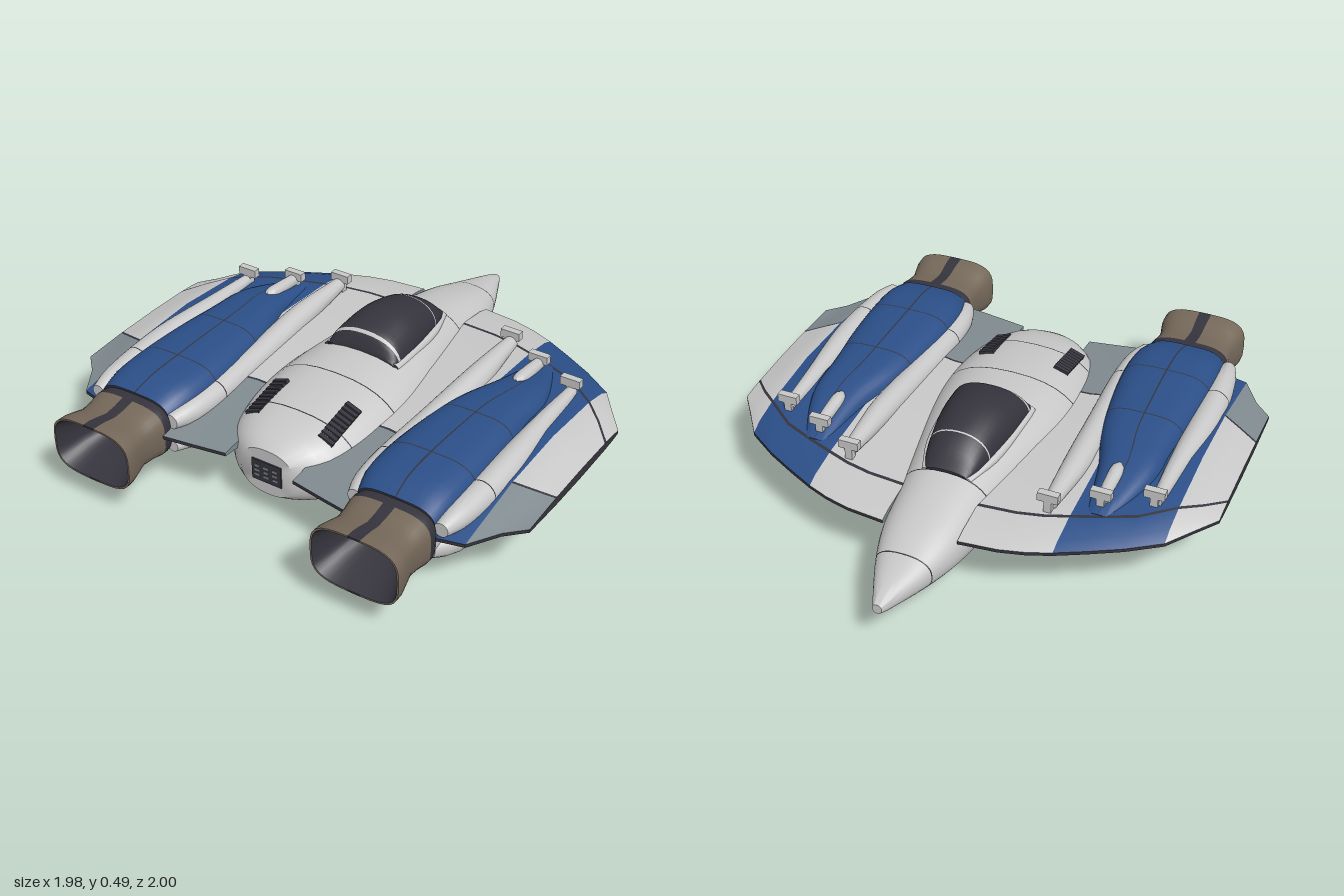
import * as THREE from 'three';
import { toCreasedNormals } from 'three/addons/utils/BufferGeometryUtils.js';

const paint = (name, color) => Object.assign(new THREE.MeshStandardMaterial({ color }), { name });
const WHITE = paint('hullWhite', 0xc8c8c8);
const BLUE = paint('panelBlue', 0x2b4f88);
const DARK = paint('darkTrim', 0x35343d);
const BROWN = paint('nozzleBrown', 0x75685a);
const GREY = paint('flapGrey', 0x808b90);

// Skins closed rings of points; colour(i, j) gives the material of each cell
function skin(name, rings, colour, flip = false, capMats = [WHITE, WHITE]) {
  const n = rings[0].length, pos = rings.flat(2), faces = new Map();
  const add = (mat, a, b, c) => {
    if (!faces.has(mat)) faces.set(mat, []);
    faces.get(mat).push(...(flip ? [a, c, b] : [a, b, c]));
  };
  for (let i = 0; i < rings.length - 1; i++) {
    for (let j = 0; j < n; j++) {
      const a = i * n + j, b = i * n + (j + 1) % n, m = colour(i, j);
      add(m, a, b, a + n);
      add(m, b, b + n, a + n);
    }
  }
  [0, rings.length - 1].forEach((r, end) => {
    const base = pos.length / 3, ring = rings[r];
    pos.push(...ring.flat(), ...[0, 1, 2].map(k => ring.reduce((s, p) => s + p[k], 0) / n));
    for (let j = 0; j < n; j++) {
      const a = base + j, b = base + (j + 1) % n;
      if (end) add(capMats[1], base + n, a, b); else add(capMats[0], base + n, b, a);
    }
  });
  const geo = new THREE.BufferGeometry(), index = [], mats = [...faces.keys()];
  geo.setAttribute('position', new THREE.Float32BufferAttribute(pos, 3));
  mats.forEach((m, k) => {
    geo.addGroup(index.length, faces.get(m).length, k);
    for (const v of faces.get(m)) index.push(v);
  });
  geo.setIndex(index);
  const mesh = new THREE.Mesh(toCreasedNormals(geo, 0.7), mats);
  mesh.name = name;
  return mesh;
}

// Smooth interpolation of table rows along their first column
function sample(table, z) {
  let i = 0;
  while (i < table.length - 2 && z > table[i + 1][0]) i++;
  const a = table[i], b = table[i + 1], p = table[i - 1] || a, q = table[i + 2] || b;
  const h = b[0] - a[0], t = (z - a[0]) / h;
  return a.map((v, k) => {
    if (k === 0) return z;
    const m0 = (b[k] - p[k]) / (b[0] - p[0]) * h, m1 = (q[k] - v) / (q[0] - a[0]) * h;
    return v * (1 - t) ** 2 * (1 + 2 * t) + m0 * t * (1 - t) ** 2 + b[k] * t * t * (3 - 2 * t) + m1 * t * t * (t - 1);
  });
}

// Rounded body along z; rows are [z, centreX, halfWidth, bottomY, midY, topY]
function loft(name, table, { n = 2, colour = () => WHITE, seams = [], stripe = 0.016, steps = 24, raw = false, caps, side = 1 } = {}) {
  const z0 = table[0][0], z1 = table[table.length - 1][0];
  const zs = Array.from({ length: steps + 1 }, (_, i) => z0 + (z1 - z0) * i / steps)
    .filter(z => !seams.some(s => Math.abs(s - z) < 0.008)).concat(seams.flatMap(s => [s - 0.0025, s + 0.0025])).sort((a, b) => a - b);
  const rows = raw ? table : zs.map(z => sample(table, z));
  const d = Math.asin(stripe ** (n / 2)), angles = [];
  for (let j = 0; j < 32; j++) {
    const a = j / 32 * Math.PI * 2;
    if (j % 16 === 8) angles.push(a - d, a + d); else angles.push(a);
  }
  const pw = v => Math.sign(v) * Math.abs(v) ** (2 / n);
  const rings = rows.map(([z, cx, w, yb, ym, yt]) => angles.map(a => {
    const s = pw(Math.sin(a));
    return [cx * side + w * pw(Math.cos(a)), ym + s * (s > 0 ? yt - ym : ym - yb), z];
  }));
  return skin(name, rings, (i, j) => {
    const z = (rows[i][0] + rows[i + 1][0]) / 2;
    if (seams.some(s => Math.abs(s - z) < 0.002)) return DARK;
    const a = (angles[j] + (angles[j + 1] ?? Math.PI * 2)) / 2;
    return colour(z, a, Math.abs(Math.cos(a)) < Math.sin(d) * 0.9, i);
  }, false, caps);
}

function box(name, mat, w, h, d, x, y, z) {
  const m = new THREE.Mesh(new THREE.BoxGeometry(w, h, d), mat);
  m.name = name;
  m.position.set(x, y, z);
  return m;
}

// Wing rows are [x, leadingEdge, seam, flapLine, trailingEdge, halfThickness]
function wing(side) {
  const rows = [
    [0.15, -0.64, -0.46, 0.34, 0.75, 0.045], [0.3, -0.625, -0.45, 0.34, 0.775, 0.05],
    [0.4, -0.6, -0.43, 0.36, 0.79, 0.055], [0.49, -0.565, -0.4, 0.38, 0.79, 0.06],
    [0.6, -0.51, -0.36, 0.38, 0.77, 0.065], [0.72, -0.445, -0.31, 0.38, 0.75, 0.07],
    [0.845, -0.36, -0.21, 0.39, 0.72, 0.07], [0.92, -0.255, -0.14, 0.36, 0.6, 0.043],
    [0.99, -0.16, -0.06, 0.33, 0.53, 0.013]];
  const rings = rows.map(([x, le, seam, flap, te, t]) => {
    const zs = [le, le + 0.05, seam, seam + 0.014, (seam + flap) / 2, flap, flap + 0.01, te];
    const half = z => 0.007 + t * Math.max(0, Math.sin(Math.PI * ((z - le) / (te - le)) ** 0.85)) ** 0.7;
    return [...zs.map(z => [x * side, 0.25 + half(z), z]), ...zs.reverse().map(z => [x * side, 0.25 - half(z), z])];
  });
  return skin('wing', rings, (i, j) => {
    const k = j < 7 ? j : 14 - j, blue = i >= 3 && i < 6;
    if (j === 7 || j === 15 || k === 2 || (k === 5 && !blue)) return DARK;
    return blue ? BLUE : k === 6 ? GREY : WHITE;
  }, side < 0, [GREY, DARK]);
}

export function createModel() {
  const model = new THREE.Group();
  model.name = 'starfighter';

  // Central hull with panel seams and belly hatches
  model.add(loft('fuselage', [
    [-1, 0, 0.018, 0.16, 0.18, 0.2], [-0.97, 0, 0.032, 0.148, 0.18, 0.212], [-0.8, 0, 0.105, 0.112, 0.185, 0.253],
    [-0.64, 0, 0.155, 0.085, 0.185, 0.3], [-0.4, 0, 0.192, 0.048, 0.185, 0.352], [-0.2, 0, 0.232, 0.028, 0.18, 0.38],
    [0, 0, 0.275, 0.012, 0.175, 0.39], [0.2, 0, 0.302, 0.002, 0.17, 0.387], [0.4, 0, 0.293, 0.01, 0.175, 0.373],
    [0.58, 0, 0.24, 0.042, 0.19, 0.347], [0.66, 0, 0.178, 0.075, 0.2, 0.322], [0.7, 0, 0.12, 0.1, 0.2, 0.297]], {
    n: 2.4, steps: 50, seams: [-0.78, -0.4, 0.25, 0.5],
    colour: (z, a) => Math.abs(a - Math.PI * 1.5) < 0.48 && ((z > -0.57 && z < -0.35) || (z > 0.08 && z < 0.4)) ? GREY : WHITE }));

  // Canopy glass, arches and sill
  model.add(loft('canopy', [
    [-0.4, 0, 0.085, 0.32, 0.34, 0.362], [-0.34, 0, 0.11, 0.32, 0.35, 0.42], [-0.25, 0, 0.13, 0.32, 0.355, 0.465],
    [-0.12, 0, 0.148, 0.32, 0.36, 0.49], [0, 0, 0.156, 0.32, 0.36, 0.475], [0.05, 0, 0.158, 0.32, 0.36, 0.452],
    [0.08, 0, 0.155, 0.32, 0.36, 0.4]], { n: 2.2, steps: 80, caps: [DARK, DARK],
    colour: z => (z > 0.04 && z < 0.051) || (z > -0.281 && z < -0.275) ? WHITE : DARK }));
  model.add(loft('canopySill', [
    [-0.4, 0, 0.1, 0.31, 0.335, 0.35], [-0.25, 0, 0.147, 0.31, 0.345, 0.37], [0, 0, 0.17, 0.32, 0.35, 0.385],
    [0.075, 0, 0.17, 0.32, 0.35, 0.387]], { n: 4, steps: 10, caps: [WHITE, DARK] }));

  // Tail panel with three small grilles
  model.add(box('tailPanel', DARK, 0.13, 0.09, 0.008, 0, 0.2, 0.702));
  for (const x of [-0.04, 0, 0.04]) {
    for (const y of [0.18, 0.2, 0.22]) model.add(box('tailGrille', GREY, 0.022, 0.008, 0.006, x, y, 0.706));
  }

  for (const side of [1, -1]) {
    const half = new THREE.Group();
    half.name = side > 0 ? 'leftSide' : 'rightSide';
    model.add(half);
    half.add(wing(side));

    // Engine pod: blue upper shell over a wider white underside
    half.add(loft('enginePod', [
      [-0.35, 0.58, 0.05, 0.22, 0.25, 0.3], [-0.1, 0.605, 0.115, 0.165, 0.25, 0.362], [0.1, 0.58, 0.152, 0.125, 0.25, 0.385],
      [0.3, 0.572, 0.178, 0.105, 0.25, 0.393], [0.5, 0.568, 0.19, 0.1, 0.25, 0.395], [0.65, 0.57, 0.185, 0.11, 0.25, 0.387],
      [0.74, 0.577, 0.165, 0.13, 0.245, 0.36]], { n: 3.6, side, seams: [0.19, 0.49], caps: [BLUE, DARK],
      colour: (z, a, strip) => a > Math.PI ? WHITE : strip ? DARK : BLUE }));
    half.add(loft('podUnderside', [
      [-0.42, 0.58, 0.02, 0.2, 0.21, 0.22], [-0.25, 0.59, 0.09, 0.165, 0.21, 0.24], [0, 0.597, 0.155, 0.125, 0.2, 0.24],
      [0.3, 0.603, 0.2, 0.1, 0.19, 0.24], [0.5, 0.605, 0.21, 0.096, 0.185, 0.24], [0.66, 0.595, 0.195, 0.105, 0.185, 0.24],
      [0.74, 0.58, 0.16, 0.13, 0.19, 0.24]], { n: 2.6, side, seams: [-0.05, 0.22, 0.49] }));

    // Flared nozzle turning inward at the rim, with striped sides
    half.add(loft('nozzle', [
      [0.72, 0.577, 0.16, 0.135, 0.24, 0.352], [0.755, 0.577, 0.17, 0.128, 0.24, 0.352], [0.78, 0.577, 0.17, 0.128, 0.24, 0.352],
      [0.83, 0.577, 0.162, 0.136, 0.24, 0.342], [0.88, 0.577, 0.158, 0.138, 0.24, 0.338], [0.93, 0.577, 0.17, 0.126, 0.237, 0.35],
      [0.965, 0.577, 0.178, 0.117, 0.235, 0.356], [1, 0.577, 0.179, 0.115, 0.235, 0.358], [1, 0.577, 0.172, 0.122, 0.235, 0.351],
      [0.9, 0.577, 0.135, 0.16, 0.237, 0.315], [0.8, 0.577, 0.1, 0.185, 0.24, 0.295]],
    { n: 3.4, side, raw: true, stripe: 0.14, caps: [DARK, DARK],
      colour: (z, a, strip, i) => i < 2 || i > 7 || strip ? DARK : BROWN }));
    const core = new THREE.Mesh(new THREE.SphereGeometry(1, 20, 10), BLUE);
    core.name = 'nozzleCore';
    core.scale.set(0.062, 0.032, 0.006);
    core.position.set(0.577 * side, 0.24, 0.803);
    half.add(core, box('coreVane', WHITE, 0.08, 0.011, 0.006, 0.577 * side, 0.257, 0.808));

    // Long fairings beside the pod: rows are [z, x, radius, y]
    const fairing = (name, rows) => half.add(loft(name,
      rows.map(([z, x, r, y]) => [z, x, r, y - r, y, y + r]), { side, seams: [0.49] }));
    fairing('upperInnerFairing', [[-0.38, 0.41, 0.028, 0.325], [-0.3, 0.41, 0.035, 0.322], [-0.1, 0.412, 0.05, 0.312],
      [0.2, 0.4, 0.052, 0.296], [0.5, 0.39, 0.052, 0.288], [0.66, 0.397, 0.046, 0.288], [0.74, 0.41, 0.03, 0.29]]);
    fairing('upperOuterFairing', [[-0.22, 0.762, 0.022, 0.318], [0, 0.766, 0.036, 0.314], [0.3, 0.778, 0.057, 0.3],
      [0.5, 0.776, 0.056, 0.295], [0.66, 0.768, 0.045, 0.295], [0.74, 0.76, 0.028, 0.295]]);
    fairing('lowerInnerFairing', [[-0.38, 0.4, 0.015, 0.19], [-0.15, 0.385, 0.045, 0.178], [0.2, 0.368, 0.065, 0.168],
      [0.5, 0.368, 0.065, 0.168], [0.74, 0.41, 0.025, 0.18]]);
    half.add(loft('gunBarrel', [[-0.3, 0.58, 0.022, 0.31, 0.335, 0.36], [-0.2, 0.58, 0.026, 0.32, 0.346, 0.37],
      [-0.13, 0.58, 0.025, 0.33, 0.352, 0.374], [-0.105, 0.58, 0.01, 0.345, 0.354, 0.364]], { side, steps: 10 }));

    // Upright gun brackets at the front of each barrel
    for (const [x, z] of [[0.405, -0.39], [0.577, -0.3], [0.757, -0.22]]) {
      half.add(box('gunBracket', WHITE, 0.082, 0.035, 0.03, x * side, 0.358, z));
      half.add(box('bracketPost', WHITE, 0.03, 0.07, 0.028, x * side, 0.32, z));
    }

    // Slatted vent on the rear deck, and slots under the wing root
    for (let k = 0; k < 9; k++) {
      const t = k / 8, slat = box('ventSlat', DARK, 0.066, 0.016, 0.019, 0.163 * side, 0.357 - 0.036 * t, 0.378 + 0.175 * t);
      slat.rotation.z = -0.36 * side;
      half.add(slat);
    }
    for (let k = 0; k < 4; k++) half.add(box('wingSlot', DARK, 0.09, 0.008, 0.02, 0.3 * side, 0.199, -0.33 + 0.045 * k));
  }
  return model;
}
